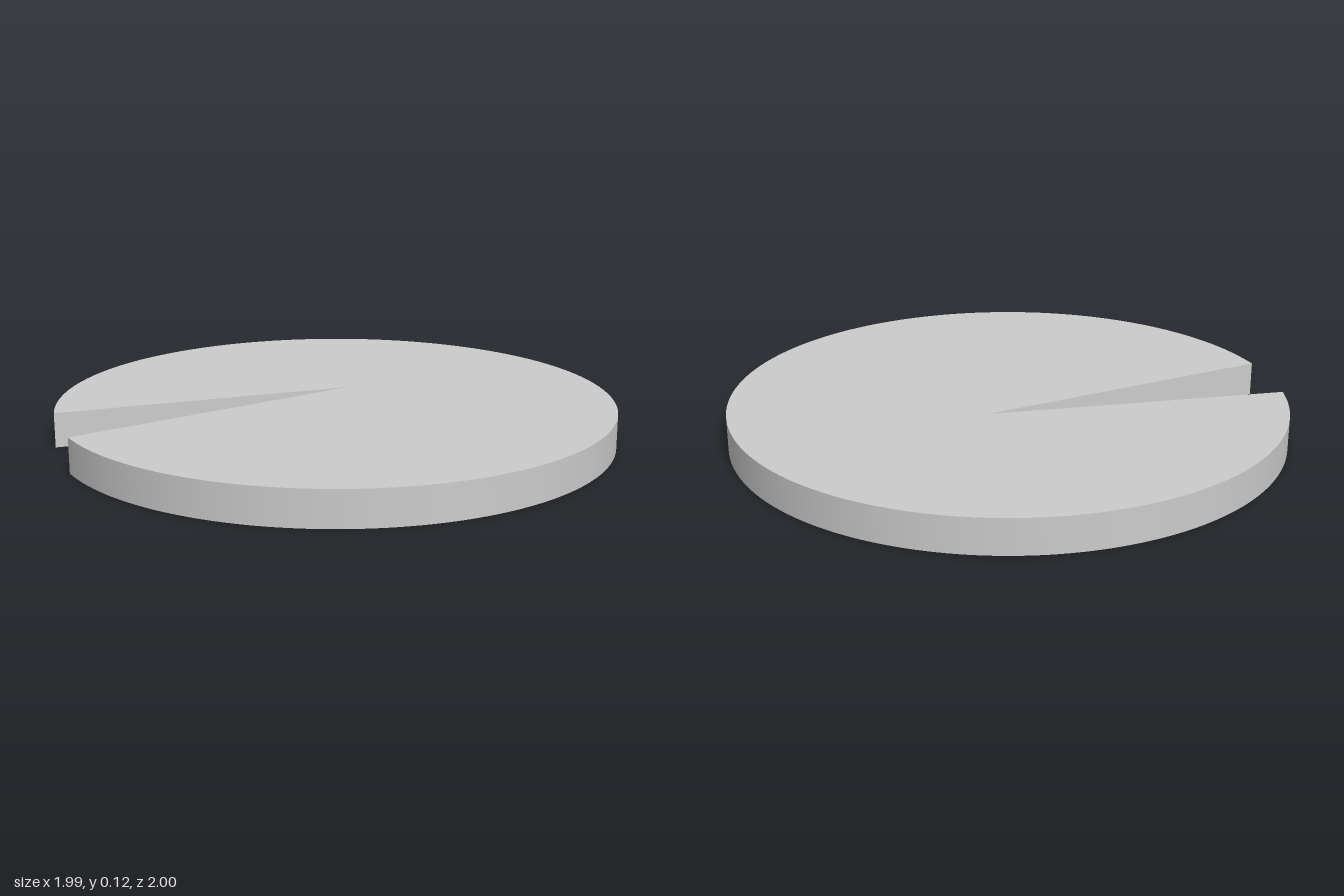
import * as THREE from 'three';
import { toCreasedNormals } from 'three/addons/utils/BufferGeometryUtils.js';

const RADIUS = 1;
const HEIGHT = 0.125;
const SLOT_HALF = 0.156; // half the slot's width
const SLOT_END = 0.1; // x of the slot's closed end

export function createModel() {
  const group = new THREE.Group();
  group.name = 'slottedWeight';

  // Outline: round disc with a slot open towards -x
  const mouth = Math.asin(SLOT_HALF / RADIUS);
  const centreX = -(RADIUS - RADIUS * Math.cos(mouth)) / 2;
  const outline = new THREE.Shape();
  outline.moveTo(SLOT_END, -SLOT_HALF);
  outline.absarc(centreX, 0, RADIUS, mouth - Math.PI, Math.PI - mouth, false);
  outline.lineTo(SLOT_END, SLOT_HALF);
  outline.closePath();

  // Extrude and lay flat, smooth around the rim and sharp at the edges
  const geometry = new THREE.ExtrudeGeometry(outline, {
    depth: HEIGHT,
    bevelEnabled: false,
    curveSegments: 96,
  });
  geometry.rotateX(-Math.PI / 2);

  const disc = new THREE.Mesh(
    toCreasedNormals(geometry, 0.5),
    new THREE.MeshStandardMaterial({ color: 0xcccccc })
  );
  disc.name = 'slottedDisc';
  group.add(disc);
  return group;
}
